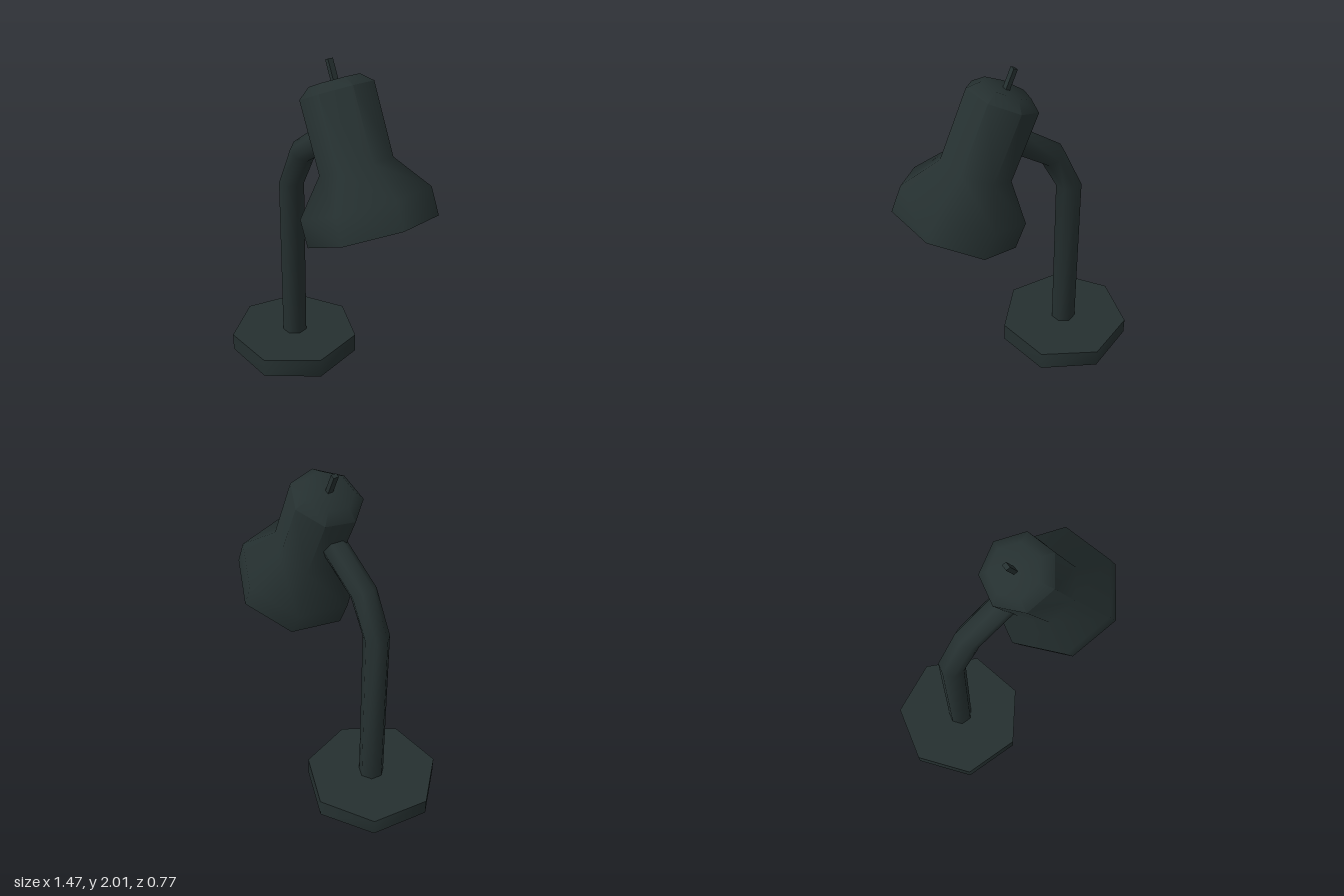
import * as THREE from 'three';
import { toCreasedNormals } from 'three/addons/utils/BufferGeometryUtils.js';

const SIDES = 7;
const CREASE = 1.05;

export function createModel() {
  const group = new THREE.Group();
  const darkGreen = new THREE.MeshStandardMaterial({ color: 0x253030, side: THREE.DoubleSide });
  darkGreen.name = 'dark green enamel';

  const add = (parent, name, geometry) => {
    const mesh = new THREE.Mesh(toCreasedNormals(geometry, CREASE), darkGreen);
    mesh.name = name;
    parent.add(mesh);
    return mesh;
  };
  const lathe = (points) => new THREE.LatheGeometry(
    points.map(([r, y]) => new THREE.Vector2(r, y)), SIDES, Math.PI);

  // Seven-sided foot with a slightly sloping underside
  const foot = new THREE.CylinderGeometry(0.407, 0.407, 0.125, SIDES, 1, false, Math.PI);
  const fp = foot.attributes.position;
  for (let i = 0; i < fp.count; i++) {
    fp.setY(i, fp.getY(i) > 0 ? 0.125 : 0.011 - 0.025 * fp.getX(i));
  }
  add(group, 'base', foot).position.set(-0.338, 0, 0.017);

  // Bent arm: each ring of a cylinder is moved to a centre and tilted
  const rings = [ // x, y, tilt in degrees, from the shade end down
    [0.03, 1.578, -61],
    [-0.219, 1.408, -36],
    [-0.335, 1.175, 0],
    [-0.335, 0.1, 0],
  ];
  const arm = new THREE.CylinderGeometry(0.077, 0.077, 1, SIDES, rings.length - 1, false, Math.PI);
  const ap = arm.attributes.position;
  for (let i = 0; i < ap.count; i++) {
    const [cx, cy, deg] = rings[Math.round((0.5 - ap.getY(i)) * (rings.length - 1))];
    const tilt = THREE.MathUtils.degToRad(deg), x = ap.getX(i);
    ap.setXY(i, cx + x * Math.cos(tilt), cy + x * Math.sin(tilt));
  }
  add(group, 'arm', arm).position.z = 0.017;

  // Tilted head; its origin is the centre of the shade opening
  const head = new THREE.Group();
  head.name = 'lampHead';
  head.position.set(0.407, 1.15, 0.02);
  head.rotation.z = THREE.MathUtils.degToRad(24);
  group.add(head);

  add(head, 'shade', lathe([
    [0.366, 0], [0.366, 0.158], [0.207, 0.355], [0.207, 0.764], [0.142, 0.818], [0, 0.818],
  ]));

  add(head, 'bulb', lathe([
    [0, -0.005], [0.09, 0.025], [0.157, 0.12], [0.15, 0.2], [0.08, 0.31], [0.07, 0.45], [0, 0.45],
  ]));

  // Thin switch pin on top of the shade
  add(head, 'switchPin', new THREE.BoxGeometry(0.025, 0.14, 0.034)).position.set(-0.002, 0.864, -0.003);

  return group;
}
